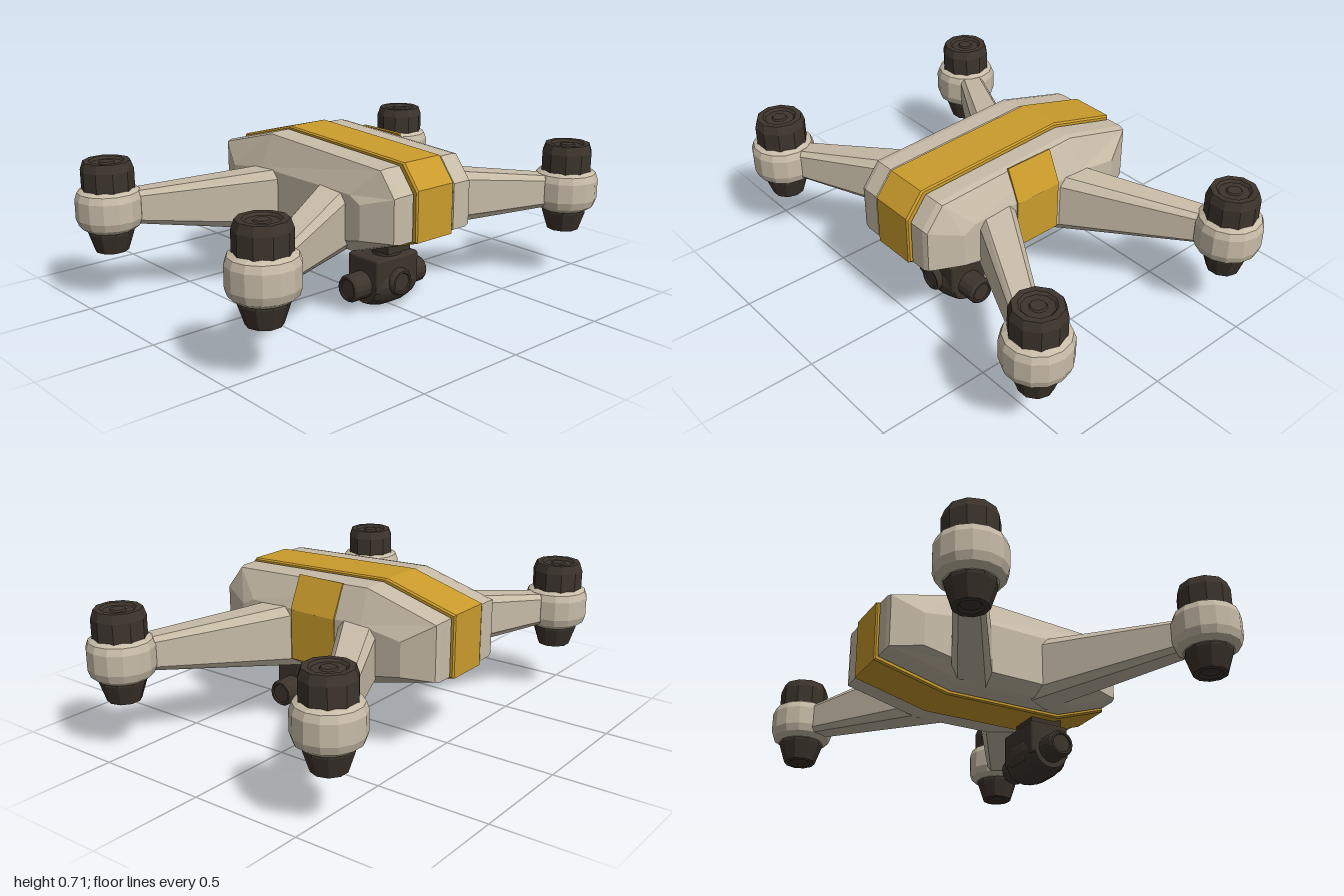
import * as THREE from 'three';
import { RoundedBoxGeometry } from 'three/addons/geometries/RoundedBoxGeometry.js';

const shell = new THREE.MeshStandardMaterial({ color: 0xc8bca8 });
shell.name = 'beige shell';
const accent = new THREE.MeshStandardMaterial({ color: 0xcb9c2c });
accent.name = 'yellow accent';
const dark = new THREE.MeshStandardMaterial({ color: 0x3d342c });
dark.name = 'dark plastic';

// Faceted normals
function facet(geometry) {
  const g = geometry.index ? geometry.toNonIndexed() : geometry;
  g.computeVertexNormals();
  return g;
}

// Closed skin over rings { z, p: [[x, y], ...] }, counter-clockwise, z rising
function loft(rings) {
  const pos = [];
  const n = rings[0].p.length;
  const put = (r, j) => pos.push(r.p[j % n][0], r.p[j % n][1], r.z);
  for (let i = 0; i + 1 < rings.length; i++) {
    const a = rings[i], b = rings[i + 1];
    for (let j = 0; j < n; j++) {
      put(a, j); put(a, j + 1); put(b, j + 1);
      put(a, j); put(b, j + 1); put(b, j);
    }
  }
  const first = rings[0], last = rings[rings.length - 1];
  for (let j = 1; j + 1 < n; j++) {
    put(first, 0); put(first, j + 1); put(first, j);
    put(last, 0); put(last, j); put(last, j + 1);
  }
  const g = new THREE.BufferGeometry();
  g.setAttribute('position', new THREE.Float32BufferAttribute(pos, 3));
  return facet(g);
}

function add(parent, name, geometry, material, x = 0, y = 0, z = 0) {
  const mesh = new THREE.Mesh(geometry, material);
  mesh.name = name;
  mesh.position.set(x, y, z);
  parent.add(mesh);
  return mesh;
}

const lathe = (points, sides) =>
  facet(new THREE.LatheGeometry(points.map(([r, y]) => new THREE.Vector2(r, y)), sides));

// Side outline of the hull, pushed in or out of its centre by d
const outline = [[-0.575, 0.355], [-0.24, 0.275], [0.3, 0.283], [0.545, 0.37],
  [0.545, 0.567], [0.465, 0.668], [-0.24, 0.697], [-0.575, 0.605]];
const grow = (d) => outline.map(([x, y]) => [x + Math.sign(x) * d, y + Math.sign(y - 0.48) * d]);
const face = [[-0.44, 0.37], [-0.2, 0.325], [0.2, 0.325], [0.4, 0.37],
  [0.4, 0.52], [0.34, 0.55], [-0.24, 0.55], [-0.44, 0.52]];

function addHull(root) {
  const rings = [[-0.275, face], [-0.215, grow(-0.006)], [-0.19, grow(0)], [-0.117, grow(0)],
    [-0.112, grow(-0.02)], [0.112, grow(-0.02)],
    [0.117, grow(0)], [0.19, grow(0)], [0.215, grow(-0.006)], [0.272, face]];
  add(root, 'hull', loft(rings.map(([z, p]) => ({ z, p }))), shell);
  add(root, 'centreBand', loft([
    { z: -0.105, p: grow(0.004) }, { z: -0.098, p: grow(0.01) },
    { z: 0.098, p: grow(0.01) }, { z: 0.105, p: grow(0.004) }]), accent);

  // Rear hatch: a vertical plate and a sloping one above it
  add(root, 'rearHatchLower', new THREE.BoxGeometry(0.23, 0.225, 0.008), accent, 0.005, 0.44, -0.277);
  const slope = add(root, 'rearHatchUpper', new THREE.BoxGeometry(0.23, 0.155, 0.009), accent, 0.005, 0.618, -0.248);
  slope.rotation.x = Math.atan2(0.062, 0.138);
}

// Tapered arm cross-section with chamfered corners
function armSection(w, low, high) {
  const c = w * 0.32, v = (high - low) * 0.14;
  return [[-w + c, low], [w - c, low], [w, low + v], [w, high - v],
    [w - c, high], [-w + c, high], [-w, high - v], [-w, low + v]];
}

function addArm(root, sx, sz) {
  const end = sx > 0 ? 'Left' : 'Right';
  const arm = new THREE.Group();
  arm.name = (sz > 0 ? 'front' : 'rear') + end + 'Arm';
  root.add(arm);

  const beam = add(arm, 'beam', loft([
    { z: 0, p: armSection(0.088, 0.278, 0.563) },
    { z: 0.72, p: armSection(0.054, 0.348, 0.482) }]), shell, sx * 0.165, 0, sz * 0.17);
  beam.rotation.y = Math.atan2(sx * 0.38, sz * 0.67);

  // Motor pod with dark cap and tapered foot
  const x = sx * 0.543, z = sz * 0.857;
  add(arm, 'motorPod', lathe([[0, 0.322], [0.105, 0.322], [0.132, 0.342], [0.143, 0.375],
    [0.143, 0.46], [0.132, 0.49], [0.108, 0.504], [0, 0.504]], 14), shell, x, 0, z);
  add(arm, 'motorCap', lathe([[0, 0.5], [0.113, 0.5], [0.113, 0.585], [0.1, 0.622],
    [0.075, 0.622], [0.065, 0.612], [0.035, 0.612], [0.03, 0.619], [0, 0.619]], 10), dark, x, 0, z);
  add(arm, 'motorFoot', lathe([[0, 0.235], [0.04, 0.235], [0.05, 0.225], [0.072, 0.225],
    [0.1, 0.31], [0.1, 0.33], [0, 0.33]], 10), dark, x, 0, z);
}

// Camera hanging under the hull
function addCamera(root) {
  const camera = new THREE.Group();
  camera.name = 'camera';
  camera.position.x = 0.255;
  root.add(camera);
  add(camera, 'mountPlate', new THREE.BoxGeometry(0.155, 0.035, 0.13), dark, 0.017, 0.266, 0);
  add(camera, 'neck', new THREE.CylinderGeometry(0.062, 0.062, 0.05, 16), dark, 0.017, 0.24, 0);
  add(camera, 'housing', new RoundedBoxGeometry(0.187, 0.15, 0.24, 2, 0.012), dark, -0.002, 0.155, 0);

  const drum = add(camera, 'drum', lathe([[0, -0.12], [0.082, -0.12], [0.092, -0.1], [0.105, -0.045],
    [0.105, 0.045], [0.092, 0.1], [0.082, 0.12], [0, 0.12]], 20), dark, 0, 0.105, 0);
  drum.rotation.x = Math.PI / 2;

  const lensProfile = [[0, 0], [0.06, 0], [0.06, 0.08], [0.052, 0.092], [0.043, 0.092],
    [0.04, 0.086], [0, 0.086]];
  for (const s of [1, -1]) {
    const lens = add(camera, s > 0 ? 'frontLens' : 'rearLens', lathe(lensProfile, 16), dark, 0, 0.107, s * 0.119);
    lens.rotation.x = s * Math.PI / 2;
  }
  const side = add(camera, 'sideLens', lathe(lensProfile, 16), dark, 0.028, 0.118, 0);
  side.rotation.z = -Math.PI / 2;
  add(camera, 'sideBump', new RoundedBoxGeometry(0.03, 0.08, 0.12, 2, 0.01), dark, -0.085, 0.1, 0);
}

export function createModel() {
  const root = new THREE.Group();
  root.name = 'quadcopter';
  addHull(root);
  for (const sx of [1, -1]) for (const sz of [1, -1]) addArm(root, sx, sz);
  addCamera(root);
  return root;
}
